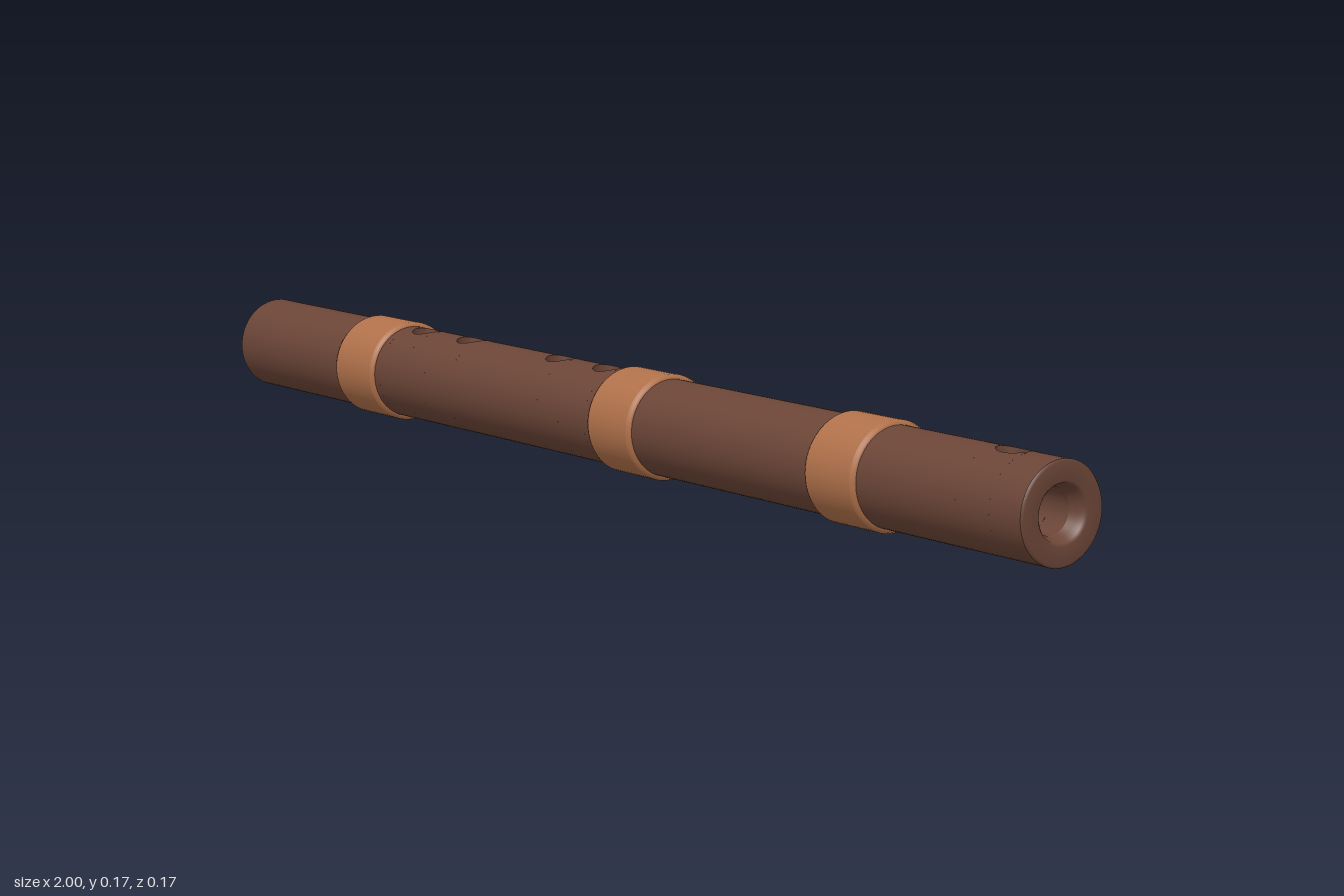
import * as THREE from 'three';
import { mergeGeometries } from 'three/addons/utils/BufferGeometryUtils.js';

const AXIS_Y = 0.086, OUTER = 0.0755, BORE = 0.034;
const PATCH_X = 0.034, PATCH_Z = 0.029;

// Grid surface from fn(u, v) -> [position, normal]; triangles are turned to agree with the normals
function grid(fn, nu, nv) {
  const pos = [], nor = [], idx = [], P = [], N = [];
  for (let i = 0; i <= nu; i++) for (let j = 0; j <= nv; j++) {
    const [p, n] = fn(i / nu, j / nv);
    P.push(p); N.push(n);
    pos.push(p.x, p.y, p.z);
    nor.push(n.x, n.y, n.z);
  }
  const tri = (a, b, c) => {
    const face = P[b].clone().sub(P[a]).cross(P[c].clone().sub(P[a]));
    const out = face.dot(N[a].clone().add(N[b]).add(N[c])) >= 0;
    idx.push(a, out ? b : c, out ? c : b);
  };
  for (let i = 0; i < nu; i++) for (let j = 0; j < nv; j++) {
    const a = i * (nv + 1) + j, b = a + nv + 1;
    tri(a, b, b + 1);
    tri(a, b + 1, a + 1);
  }
  const g = new THREE.BufferGeometry();
  g.setAttribute('position', new THREE.Float32BufferAttribute(pos, 3));
  g.setAttribute('normal', new THREE.Float32BufferAttribute(nor, 3));
  g.setIndex(idx);
  return g;
}

// Point on the tube over or under (x, z)
const onTube = (x, z, r, side) => new THREE.Vector3(x, side * Math.sqrt(r * r - z * z), z);
const radial = (p, sign) => new THREE.Vector3(0, p.y, p.z).normalize().multiplyScalar(sign);

function arc(x0, x1, r, sign, a0, a1, n) {
  return grid((u, v) => {
    const a = a0 + (a1 - a0) * v;
    const p = new THREE.Vector3(x0 + (x1 - x0) * u, r * Math.cos(a), r * Math.sin(a));
    return [p, radial(p, sign)];
  }, 1, n);
}

const ellipse = (o, a) => [o.x + o.rx * Math.cos(a), o.rz * Math.sin(a)];

// Wall patch whose edge runs from the hole out to a rectangle
function patch(cx, o, r, sign, side) {
  return grid((u, v) => {
    const a = v * Math.PI * 2, c = Math.cos(a), s = Math.sin(a);
    const k = 1 / Math.max(Math.abs(c), Math.abs(s));
    const [ex, ez] = ellipse(o, a);
    const p = onTube(ex + (cx + PATCH_X * c * k - ex) * u, ez + (PATCH_Z * s * k - ez) * u, r, side);
    return [p, radial(p, sign)];
  }, 4, 48);
}

// Side wall of a hole, from the bore to the outside
function holeWall(inner, outer, side) {
  return grid((u, v) => {
    const a = v * Math.PI * 2;
    const p = onTube(...ellipse(inner, a), BORE, side).lerp(onTube(...ellipse(outer, a), OUTER, side), u);
    return [p, new THREE.Vector3(-Math.cos(a), 0, -Math.sin(a))];
  }, 2, 48);
}

function lathe(points) {
  const g = new THREE.LatheGeometry(points.map(([r, x]) => new THREE.Vector2(r, x)), 64);
  g.rotateZ(-Math.PI / 2);
  return g;
}

export function createModel() {
  const wood = new THREE.MeshStandardMaterial({ color: 0x6b4537 });
  wood.name = 'dark wood';
  const binding = new THREE.MeshStandardMaterial({ color: 0xb0714a });
  binding.name = 'light binding';
  const group = new THREE.Group();
  const flute = new THREE.Group();
  flute.name = 'flute';
  flute.position.y = AXIS_Y;
  group.add(flute);
  const add = (name, geometry, material) => {
    const m = new THREE.Mesh(geometry, material);
    m.name = name;
    flute.add(m);
  };

  // Finger holes go straight through; the mouth hole has a sloped lower wall
  const holes = [-0.525, -0.395, -0.147, -0.022].map((x) => {
    const o = { x, rx: 0.026, rz: 0.026 };
    return { x, top: o, bottomIn: o, bottomOut: o };
  });
  const mouth = { x: 0.9, rx: 0.03, rz: 0.02 };
  holes.push({ x: 0.9, top: mouth, bottomIn: mouth, bottomOut: { x: 0.884, rx: 0.014, rz: 0.018 } });

  // Outer wall and bore, built in plain lengths with pierced lengths between
  const skin = (r, sign, end, bottomKey) => {
    const parts = [];
    let x = -end;
    for (const h of holes) {
      const x0 = h.x - PATCH_X, x1 = h.x + PATCH_X, e = Math.asin(PATCH_Z / r);
      parts.push(arc(x, x0, r, sign, 0, Math.PI * 2, 64));
      for (const t of [0, Math.PI]) parts.push(arc(x0, x1, r, sign, t + e, t + Math.PI - e, 28));
      parts.push(patch(h.x, h.top, r, sign, 1), patch(h.x, h[bottomKey], r, sign, -1));
      x = x1;
    }
    parts.push(arc(x, end, r, sign, 0, Math.PI * 2, 64));
    return mergeGeometries(parts);
  };
  add('body', skin(OUTER, 1, 0.996, 'bottomOut'), wood);
  add('bore', skin(BORE, -1, 0.975, 'bottomIn'), wood);

  // Open ends with a softly flared mouth
  const rim = lathe([[OUTER, 0.996], [0.072, 1], [0.046, 1], [0.042, 0.996], [0.038, 0.986], [BORE, 0.975]]);
  add('leftRim', rim, wood);
  add('rightRim', rim.clone().rotateY(Math.PI), wood);

  // Walls of the holes
  for (const h of holes) {
    add('upperHoleWall', holeWall(h.top, h.top, 1), wood);
    add('lowerHoleWall', holeWall(h.bottomIn, h.bottomOut, -1), binding);
  }

  // Wrapped bands with eased edges
  for (const [x0, x1] of [[-0.685, -0.573], [0.028, 0.135], [0.55, 0.658]]) {
    add('band', lathe([[0.075, x0], [0.08, x0 + 0.001], [0.0825, x0 + 0.006],
      [0.0825, x0 + 0.007], [0.0825, x1 - 0.007], [0.0825, x1 - 0.006],
      [0.08, x1 - 0.001], [0.075, x1]]), binding);
  }
  // Lathe profiles run inward or along the axis; show both faces of the thin shells
  wood.side = binding.side = THREE.DoubleSide;
  return group;
}
